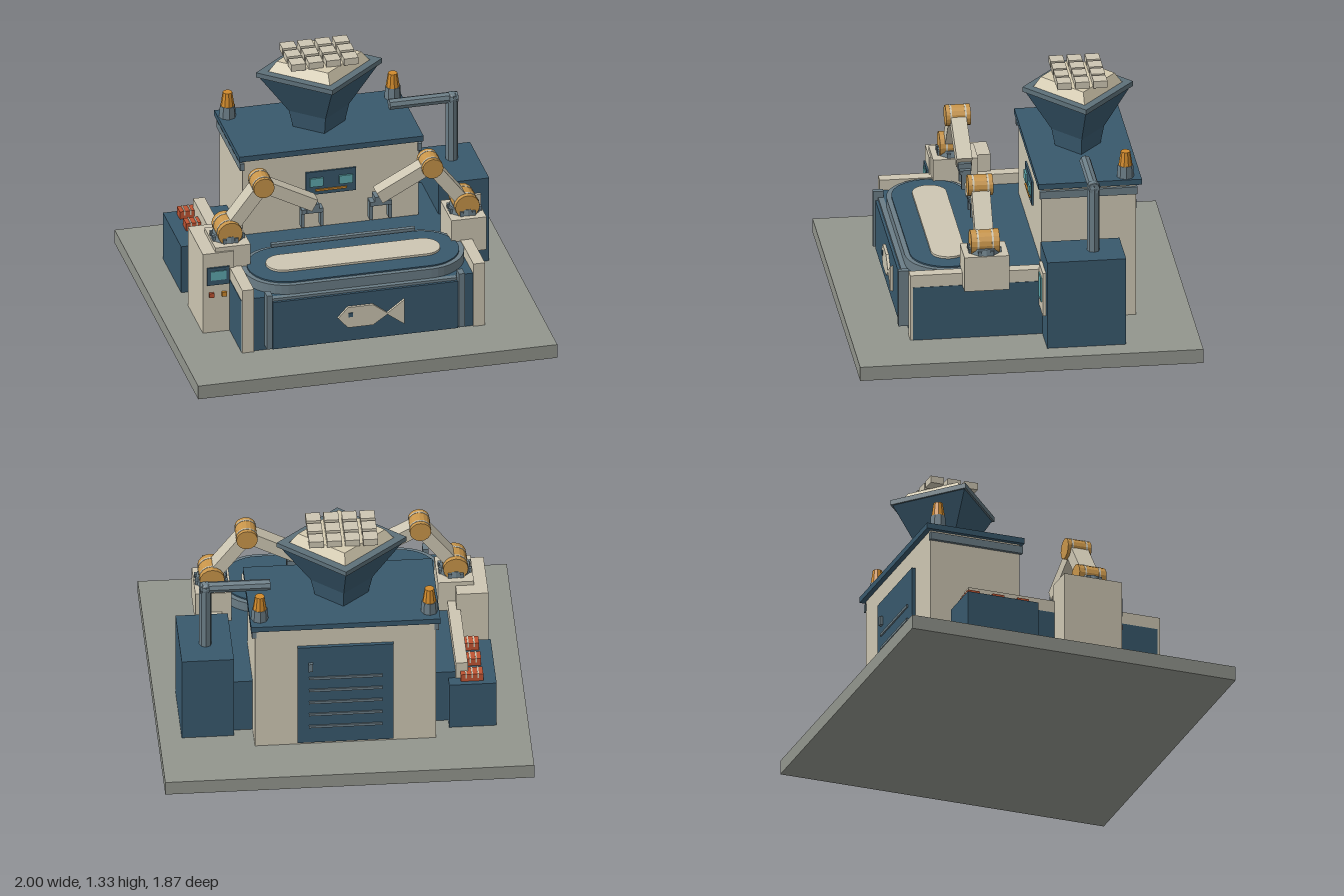
import * as THREE from 'three';

const mat = (color, opts = {}) => new THREE.MeshStandardMaterial({ color, flatShading: true, ...opts });
const navy = mat(0x38586c), cream = mat(0xcdc6b2), steel = mat(0x6b7d86), orange = mat(0xc8954a);
const teal = mat(0x5fa9ae), red = mat(0xbf5332), amber = mat(0xd08a2c), stone = mat(0x92958d);
const navyOpen = mat(0x38586c, { side: THREE.DoubleSide });
const rimSteel = mat(0x5d7079, { side: THREE.DoubleSide });

export function createModel() {
  const root = new THREE.Group();

  const add = (name, geo, m, x = 0, y = 0, z = 0, parent = root) => {
    const mesh = new THREE.Mesh(geo, m);
    mesh.name = name;
    mesh.position.set(x, y, z);
    parent.add(mesh);
    return mesh;
  };
  // Box given by its limits on each axis
  const box = (name, m, x0, x1, y0, y1, z0, z1, parent = root) =>
    add(name, new THREE.BoxGeometry(x1 - x0, y1 - y0, z1 - z0), m, (x0 + x1) / 2, (y0 + y1) / 2, (z0 + z1) / 2, parent);
  const cyl = (name, m, rTop, rBot, h, n, x, y, z, parent = root) =>
    add(name, new THREE.CylinderGeometry(rTop, rBot, h, n), m, x, y, z, parent);
  // Flat plate with round ends, lying in the ground plane
  const stadium = (name, m, halfLen, r, y0, y1, z) => {
    const s = new THREE.Shape();
    s.absarc(halfLen, 0, r, -Math.PI / 2, Math.PI / 2);
    s.absarc(-halfLen, 0, r, Math.PI / 2, Math.PI * 1.5);
    const g = new THREE.ExtrudeGeometry(s, { depth: y1 - y0, bevelEnabled: false, curveSegments: 10 });
    return add(name, g.rotateX(-Math.PI / 2), m, 0, y0, z);
  };
  const plate = (name, m, pts, depth, z) => {
    const s = new THREE.Shape(pts.map(p => new THREE.Vector2(...p)));
    return add(name, new THREE.ExtrudeGeometry(s, { depth, bevelEnabled: false }), m, 0, 0, z);
  };

  box('floorSlab', stone, -1, 1, 0, 0.08, -0.935, 0.935);

  // Main body with side walls
  box('machineBody', navy, -0.61, 0.61, 0.08, 0.4, -0.48, 0.61);
  for (const s of [-1, 1]) {
    const wall = box('sideWall', cream, -0.0325, 0.0325, 0.08, 0.46, -0.485, 0.62);
    wall.position.x = s * 0.643;
    const panel = box('sidePanel', navy, -0.002, 0.002, 0.08, 0.39, -0.1, 0.605);
    panel.position.x = s * 0.676;
  }

  // Conveyor on the deck
  stadium('conveyorRim', steel, 0.38, 0.232, 0.4, 0.455, 0.38);
  stadium('conveyorBelt', navy, 0.38, 0.205, 0.45, 0.463, 0.38);
  stadium('conveyorIsland', cream, 0.39, 0.093, 0.46, 0.475, 0.378);
  box('conveyorBackRail', steel, -0.4, 0.4, 0.4, 0.475, 0.14, 0.165);

  // Front panel with fish emblem
  box('frontPanel', navy, -0.515, 0.515, 0.1, 0.385, 0.61, 0.655);
  for (const s of [-1, 1]) box('frontPost', steel, s * 0.535 - 0.016, s * 0.535 + 0.016, 0.11, 0.435, 0.61, 0.668);
  box('frontTopBar', steel, -0.515, 0.515, 0.385, 0.4, 0.61, 0.64);
  plate('fishBody', cream, [[-0.155, 0.25], [-0.1, 0.187], [0.04, 0.187], [0.125, 0.245], [0.04, 0.31], [-0.1, 0.31]], 0.015, 0.655);
  plate('fishTail', cream, [[0.115, 0.245], [0.215, 0.17], [0.215, 0.32]], 0.015, 0.655);
  box('fishEye', navy, -0.098, -0.074, 0.253, 0.277, 0.665, 0.676);

  // Rear house
  box('house', cream, -0.49, 0.49, 0.08, 0.86, -0.635, -0.12);
  box('roof', navy, -0.513, 0.513, 0.855, 0.887, -0.663, -0.1);
  for (const s of [-1, 1]) box('eavesRail', steel, s * 0.495 - 0.012, s * 0.495 + 0.012, 0.797, 0.84, -0.64, -0.108);

  // House front display
  box('facePanel', navy, -0.14, 0.14, 0.6, 0.738, -0.12, -0.11);
  for (const s of [-1, 1]) box('faceScreen', teal, s * 0.082 - 0.037, s * 0.082 + 0.037, 0.652, 0.702, -0.112, -0.1);
  box('faceBar', amber, -0.087, 0.087, 0.622, 0.633, -0.112, -0.102);

  // Rear door with vent slats and handle
  box('rearDoor', navy, -0.26, 0.26, 0.1, 0.73, -0.655, -0.63);
  for (let i = 0; i < 5; i++) box('ventSlat', steel, -0.2, 0.2, 0.2 + i * 0.08, 0.215 + i * 0.08, -0.663, -0.65);
  box('doorHandle', steel, 0.178, 0.202, 0.58, 0.63, -0.673, -0.65);

  // Roof beacons
  for (const s of [-1, 1]) {
    cyl('beaconBase', steel, 0.042, 0.047, 0.07, 8, s * 0.46, 0.92, -0.58);
    cyl('beaconLamp', amber, 0.026, 0.038, 0.08, 10, s * 0.46, 0.995, -0.58);
  }

  // Diamond hopper: open funnel, rim, filling and blocks
  const hopper = new THREE.Group();
  hopper.name = 'hopper';
  hopper.position.z = -0.38;
  root.add(hopper);
  const diamond = (name, m, pts) => {
    const mesh = add(name, new THREE.LatheGeometry(pts.map(p => new THREE.Vector2(...p)), 4), m, 0, 0, 0, hopper);
    mesh.scale.z = 0.855;
    return mesh;
  };
  diamond('hopperFunnel', navyOpen, [[0.145, 0.885], [0.168, 0.985], [0.338, 1.215]]);
  diamond('hopperRim', rimSteel, [[0.285, 1.212], [0.352, 1.212], [0.352, 1.24], [0.285, 1.24], [0.285, 1.212]]);
  diamond('hopperFilling', mat(0xd5cbb0, { side: THREE.DoubleSide }), [[0.285, 1.235], [0.235, 1.295], [0, 1.297]]);
  for (let i = 0; i < 4; i++) {
    for (let j = 0; j < 3; j++) {
      add('foodBlock', new THREE.BoxGeometry(0.08, 0.04, 0.076), cream,
        -0.147 + i * 0.098, 1.313, -0.1 + j * 0.098, hopper);
    }
  }

  // Right-hand cabinet, its screen and the feed pipe
  box('pumpCabinet', navy, 0.595, 0.878, 0.08, 0.585, -0.53, -0.1);
  box('pumpPanel', cream, 0.66, 0.828, 0.25, 0.5, -0.1, -0.082);
  box('pumpScreen', teal, 0.695, 0.785, 0.315, 0.455, -0.085, -0.076);
  cyl('pipeRiser', steel, 0.034, 0.034, 0.4, 8, 0.737, 0.775, -0.37);
  cyl('pipeOutlet', steel, 0.031, 0.031, 0.38, 8, 0.577, 0.958, -0.37).rotation.z = Math.PI / 2;
  add('pipeElbow', new THREE.IcosahedronGeometry(0.036, 1), steel, 0.737, 0.957, -0.37);

  // Control cabinet
  box('controlCabinet', cream, -0.827, -0.655, 0.08, 0.56, 0.01, 0.345);
  box('controlBezel', navy, -0.805, -0.68, 0.37, 0.475, 0.34, 0.355);
  box('controlScreen', teal, -0.785, -0.7, 0.402, 0.455, 0.35, 0.36);
  box('redButton', red, -0.793, -0.767, 0.297, 0.323, 0.34, 0.36);
  box('amberButton', amber, -0.723, -0.697, 0.297, 0.323, 0.34, 0.36);

  // Low supply box with striped trays
  box('supplyBox', navy, -0.827, -0.57, 0.08, 0.36, -0.548, -0.14);
  for (const z of [-0.485, -0.343, -0.2]) {
    box('supplyTray', red, -0.757, -0.635, 0.36, 0.405, z - 0.034, z + 0.034);
    for (let i = 0; i < 3; i++) {
      const x = -0.73 + i * 0.033;
      box('trayStripe', cream, x - 0.004, x + 0.004, 0.38, 0.409, z - 0.035, z + 0.035);
    }
  }

  // Pair of robot arms
  for (const s of [-1, 1]) {
    const arm = new THREE.Group();
    arm.name = s > 0 ? 'leftArm' : 'rightArm';
    root.add(arm);
    const zc = 0.215, shoulder = [s * 0.66, 0.635], elbow = [s * 0.47, 0.885], wrist = [s * 0.18, 0.73];
    // Straight limb between two joints
    const limb = (name, a, b, w, d) => {
      const dx = b[0] - a[0], dy = b[1] - a[1];
      const m = add(name, new THREE.BoxGeometry(Math.hypot(dx, dy), w, d), cream, (a[0] + b[0]) / 2, (a[1] + b[1]) / 2, zc, arm);
      m.rotation.z = Math.atan2(dy, dx);
    };
    const joint = (name, p, r, len) => {
      cyl(name, orange, r, r, len, 16, p[0], p[1], zc, arm).rotation.x = Math.PI / 2;
      for (const k of [-1, 1]) cyl(name + 'Band', cream, r + 0.002, r + 0.002, 0.01, 16, p[0], p[1], zc + k * 0.04, arm).rotation.x = Math.PI / 2;
    };
    box('armPedestal', cream, s * 0.657 - 0.098, s * 0.657 + 0.098, 0.385, 0.585, 0.09, 0.335, arm);
    cyl('armTurntable', steel, 0.082, 0.09, 0.035, 12, shoulder[0], 0.602, zc, arm);
    for (let i = 0; i < 8; i++) {
      const t = (i + 0.5) * Math.PI / 4;
      box('turntableBolt', steel, -0.01, 0.01, 0.585, 0.612, -0.01, 0.01, arm)
        .position.set(shoulder[0] + 0.085 * Math.cos(t), 0.598, zc + 0.085 * Math.sin(t));
    }
    joint('shoulderJoint', shoulder, 0.068, 0.155);
    limb('upperArm', shoulder, elbow, 0.072, 0.1);
    joint('elbowJoint', elbow, 0.058, 0.135);
    limb('forearm', elbow, wrist, 0.072, 0.085);
    // Gripper with two fingers
    box('gripperPalm', steel, s * 0.19 - 0.06, s * 0.19 + 0.06, 0.68, 0.705, zc - 0.03, zc + 0.03, arm);
    box('gripperWrist', steel, s * 0.19 - 0.035, s * 0.19 + 0.035, 0.69, 0.735, zc - 0.035, zc + 0.035, arm);
    for (const k of [-1, 1]) {
      const x = s * 0.19 + k * 0.053;
      box('gripperFinger', steel, x - 0.009, x + 0.009, 0.595, 0.7, zc - 0.022, zc + 0.022, arm);
    }
  }

  return root;
}
